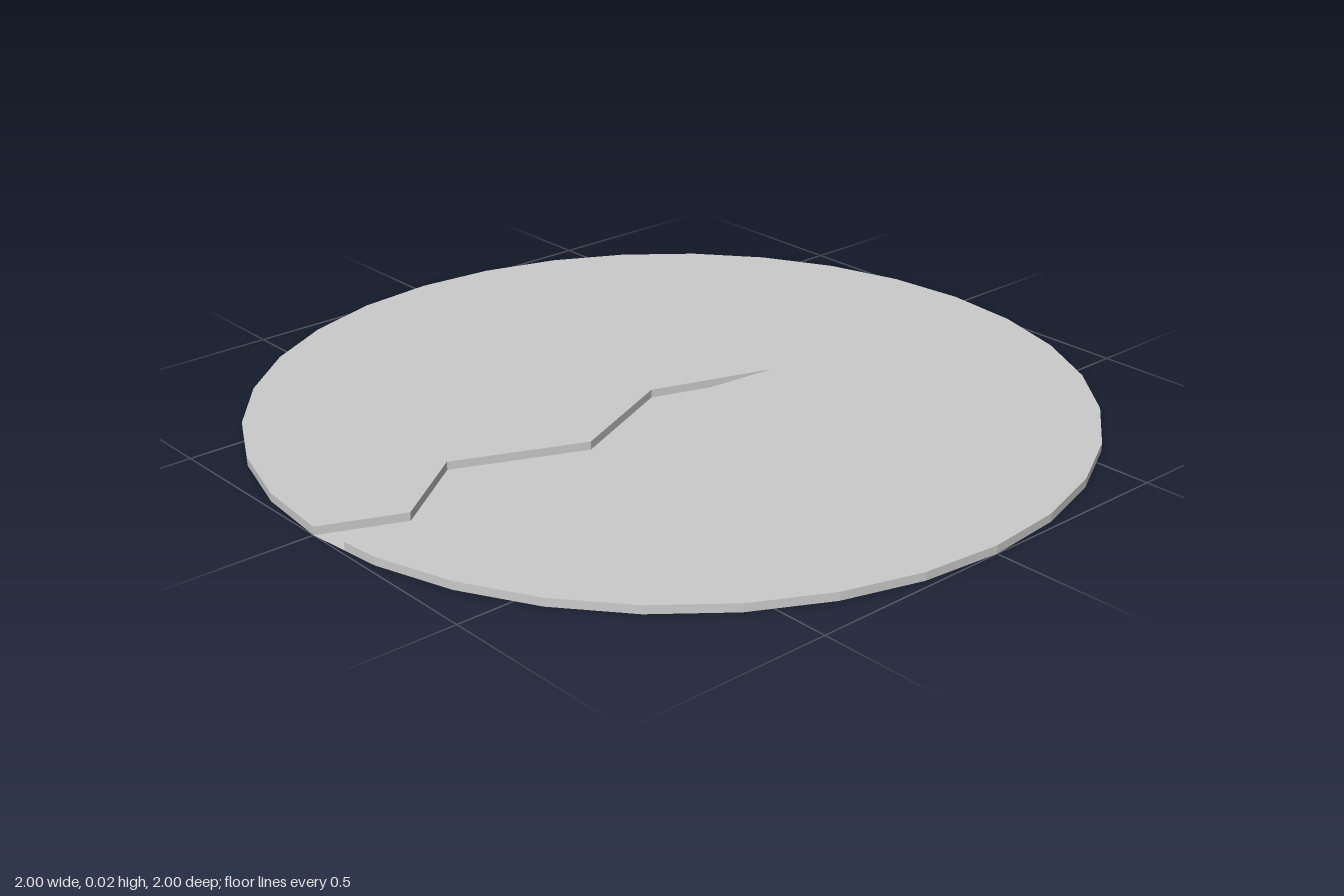
import * as THREE from 'three';

const HEIGHT = 0.02;
const SIDES = 32;

export function createModel() {
  const group = new THREE.Group();
  const material = new THREE.MeshStandardMaterial({ color: 0xcccccc, flatShading: true });
  const floorMaterial = material.clone();
  floorMaterial.side = THREE.DoubleSide;

  // Zigzag crack outline as [x, z]: from the rim to the tip and back to the rim
  const crack = [
    [0, 1], [0.08, 0.81], [-0.07, 0.605], [0.06, 0.3], [-0.07, 0.005], [0.03, -0.3],
    [0, 0.015], [0.135, 0.325], [-0.01, 0.605], [0.14, 0.81], [0.1, 0.99],
  ].map(([x, z]) => new THREE.Vector2(x, -z));

  // Disc outline: the rim, closed by the two sides of the crack
  const rim = [];
  for (let i = 1; i < SIDES; i++) {
    const a = -Math.PI / 2 + (i / SIDES) * Math.PI * 2;
    rim.push(new THREE.Vector2(Math.cos(a), Math.sin(a)));
  }
  const discGeometry = new THREE.ExtrudeGeometry(new THREE.Shape([...rim, ...crack]), {
    depth: HEIGHT, bevelEnabled: false,
  });
  discGeometry.rotateX(-Math.PI / 2);
  const disc = new THREE.Mesh(discGeometry, material);
  disc.name = 'crackedDisc';

  // Thin floor that closes the crack at the underside
  const floorGeometry = new THREE.ShapeGeometry(new THREE.Shape(crack));
  floorGeometry.rotateX(-Math.PI / 2);
  const floor = new THREE.Mesh(floorGeometry, floorMaterial);
  floor.name = 'crackFloor';

  group.add(disc, floor);
  return group;
}
